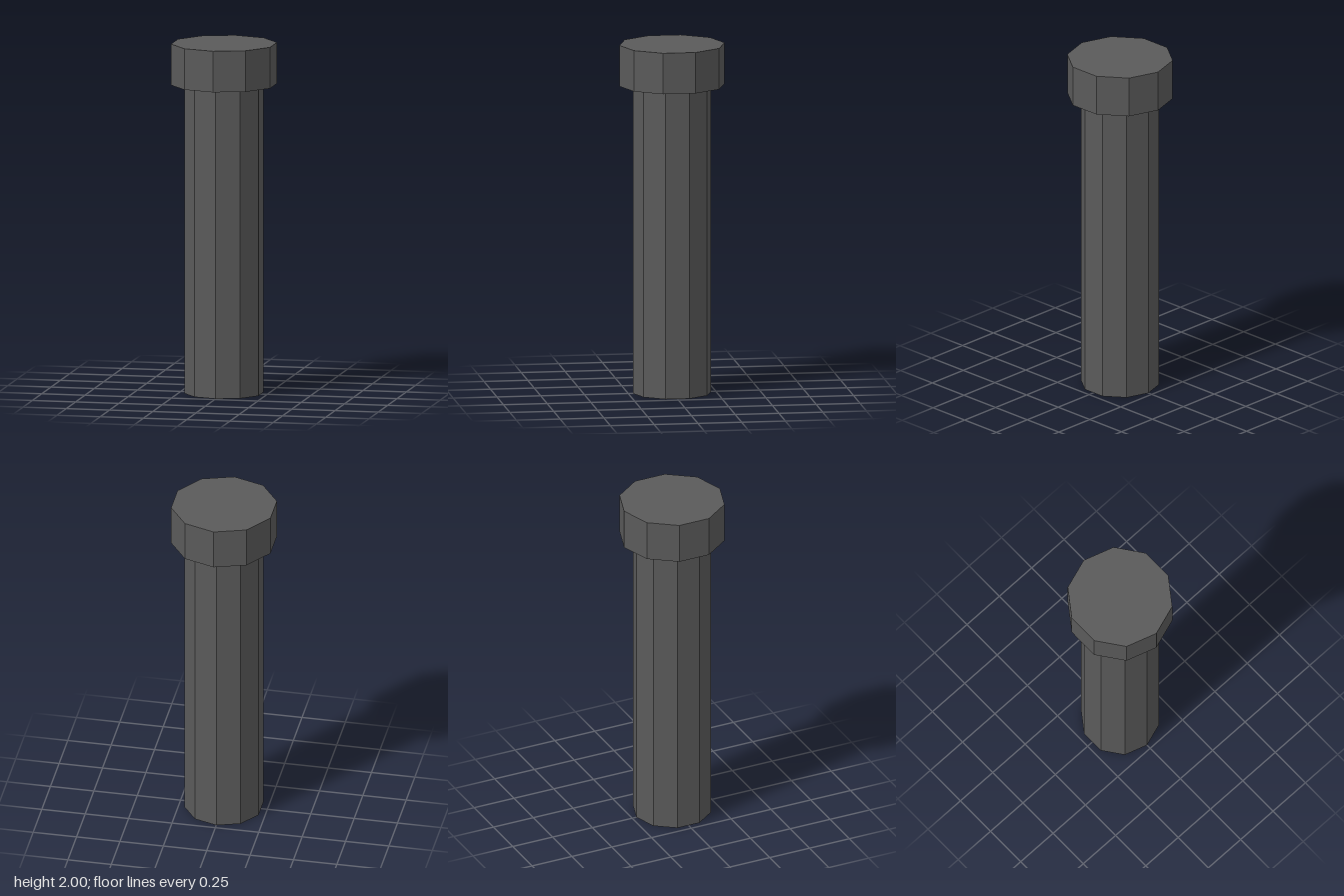
import * as THREE from 'three';

const SIDES = 10;

export function createModel() {
  const group = new THREE.Group();
  group.name = 'bolt';

  const steel = new THREE.MeshStandardMaterial({ color: 0x5a5a5a, flatShading: true });
  steel.name = 'dark steel';

  // Ten-sided prism between two heights, with a corner facing the front
  const addPrism = (name, radius, bottom, top) => {
    const geometry = new THREE.CylinderGeometry(radius, radius, top - bottom, SIDES);
    const mesh = new THREE.Mesh(geometry, steel);
    mesh.name = name;
    mesh.position.y = (bottom + top) / 2;
    group.add(mesh);
  };

  addPrism('shaft', 0.224, 0, 1.765);
  addPrism('head', 0.301, 1.765, 2);

  return group;
}
